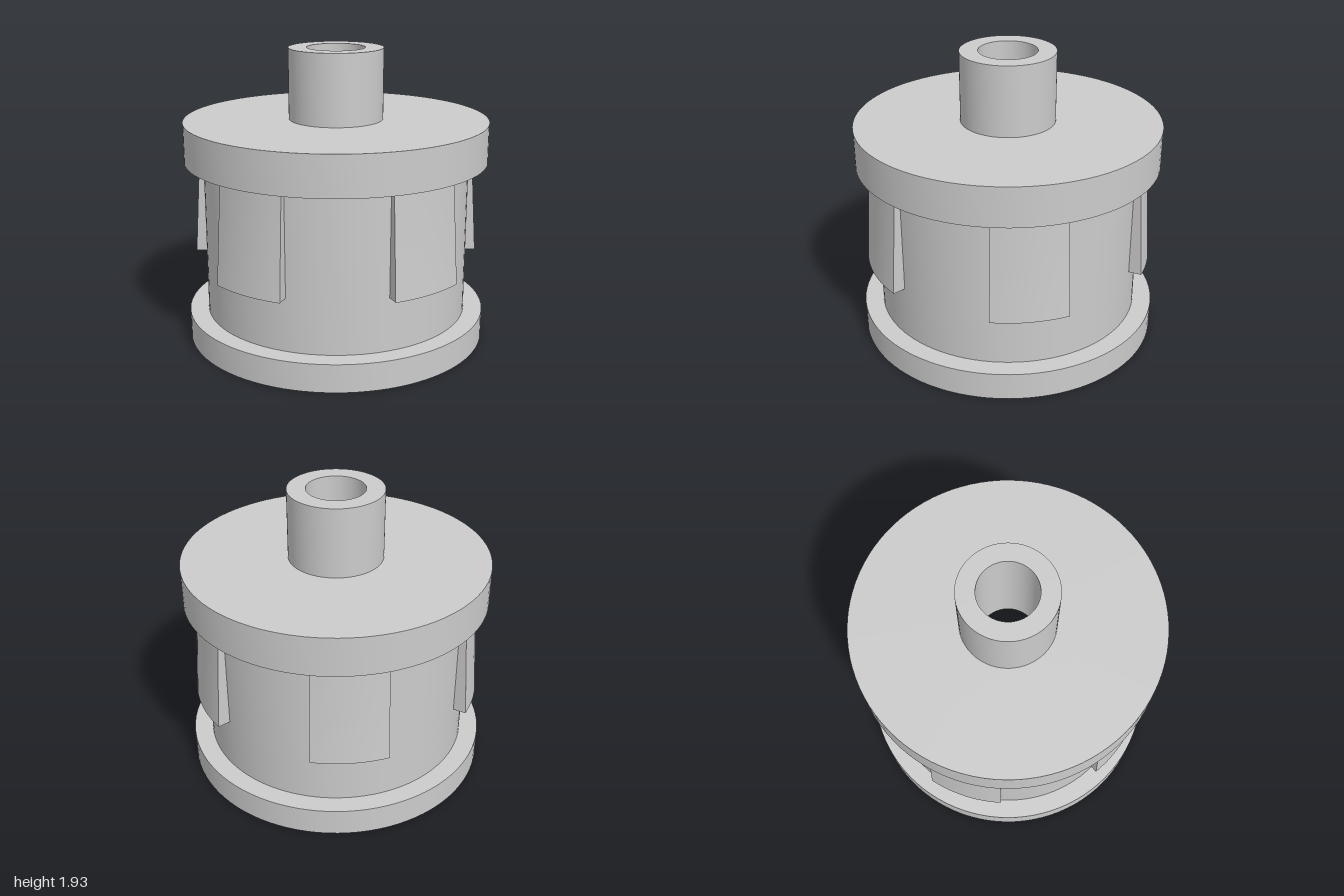
import * as THREE from 'three';
import { toCreasedNormals } from 'three/addons/utils/BufferGeometryUtils.js';

const material = new THREE.MeshStandardMaterial({ color: 0xcccccc });
const doubleSided = new THREE.MeshStandardMaterial({ color: 0xcccccc, side: THREE.DoubleSide });
const deg = THREE.MathUtils.degToRad;
const JAW_COUNT = 5;
const JAW_BOTTOM = 0.535;

const toPoints = (pairs) => pairs.map(([r, y]) => new THREE.Vector2(r, y));

// Turned part; profiles run counter-clockwise in (radius, height).
function turned(name, pairs) {
  const lathe = new THREE.LatheGeometry(toPoints(pairs), 96);
  const mesh = new THREE.Mesh(toCreasedNormals(lathe, 0.6), material);
  mesh.name = name;
  return mesh;
}

// Sector of a closed profile, capped at both ends.
function sector(name, pairs, start, length) {
  const group = new THREE.Group();
  group.name = name;
  const closed = toPoints([...pairs, pairs[0]]);
  const lathe = new THREE.LatheGeometry(closed, 10, start, length);
  group.add(new THREE.Mesh(toCreasedNormals(lathe, 0.6), material));
  const cap = new THREE.ShapeGeometry(new THREE.Shape(toPoints(pairs)));
  for (const angle of [start, start + length]) {
    const side = new THREE.Mesh(cap, doubleSided);
    side.rotation.y = angle - Math.PI / 2;
    group.add(side);
  }
  return group;
}

export function createModel() {
  const model = new THREE.Group();

  // Housing: open drum whose inner wall flares out at the mouth
  const flare = [];
  for (let i = 0; i <= 10; i++) {
    const a = (i / 10) * Math.PI / 2;
    flare.push([0.96 - 0.1 * Math.cos(a), 0.25 - 0.23 * Math.sin(a)]);
  }
  model.add(turned('housing', [
    [0.86, 1.21], ...flare, [0.97, 0.02], [0.97, 0], [1, 0],
    [1, 0.185], [0.875, 0.185], [0.875, 1.21],
  ]));

  // Top flange with the hollow neck
  model.add(turned('topFlangeAndNeck', [
    [0.19, 1.21], [1, 1.21], [1, 1.47], [0.31, 1.47],
    [0.31, 1.935], [0.19, 1.935], [0.19, 1.21],
  ]));

  // Jaws: tapered outer pad, inner face curving in towards the top
  const inner = [];
  for (let i = 0; i <= 10; i++) {
    const a = deg(60 - 5.7 * i);
    inner.push([0.6 * Math.cos(a), 0.515 + 0.6 * Math.sin(a)]);
  }
  const jawProfile = [
    [0.6, JAW_BOTTOM], [0.96, JAW_BOTTOM], [0.915, 1.21], [0.915, 1.25], [0.3, 1.25], ...inner,
  ];

  for (let i = 0; i < JAW_COUNT; i++) {
    const angle = deg(90 + (i * 360) / JAW_COUNT);
    model.add(sector('jaw', jawProfile, angle - deg(15), deg(30)));

    // Hexagonal nut and screw tip under each jaw
    const fastener = new THREE.Group();
    fastener.name = 'fastener';
    const nutGeometry = toCreasedNormals(new THREE.CylinderGeometry(0.1, 0.1, 0.07, 6), 0.5);
    const nut = new THREE.Mesh(nutGeometry, material);
    nut.name = 'nut';
    nut.position.y = -0.03;
    const tip = new THREE.Mesh(new THREE.CylinderGeometry(0.035, 0.035, 0.1, 20), material);
    tip.name = 'screwTip';
    tip.position.y = -0.04;
    fastener.add(nut, tip);
    fastener.position.set(0.78 * Math.sin(angle), JAW_BOTTOM, 0.78 * Math.cos(angle));
    fastener.rotation.y = angle + Math.PI / 2;
    model.add(fastener);
  }

  return model;
}
